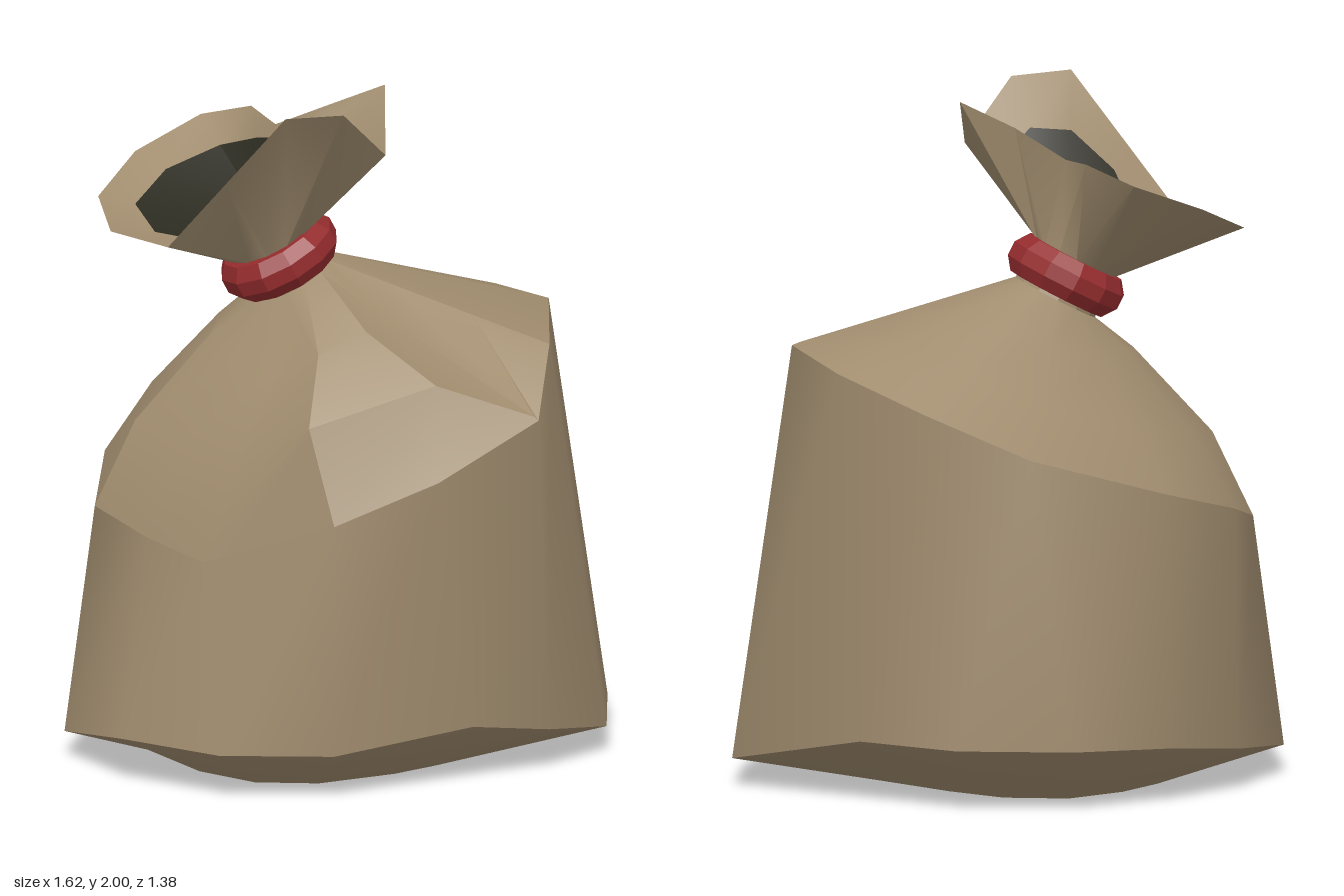
import * as THREE from 'three';
import { toCreasedNormals } from 'three/addons/utils/BufferGeometryUtils.js';

const mat = (name, color, flatShading = false) => {
  const m = new THREE.MeshStandardMaterial({ color, flatShading });
  m.name = name;
  return m;
};
const V = (p) => new THREE.Vector3(...p);
const lerpRing = (a, b, t) => a.map((p, i) => p.clone().lerp(b[i], t));

// Skin closed rings, listed from bottom to top, skipping collapsed triangles
function loft(rings, crease) {
  const pos = [];
  const tri = (a, b, c) => {
    if (b.clone().sub(a).cross(c.clone().sub(a)).length() > 1e-7)
      for (const p of [a, b, c]) pos.push(p.x, p.y, p.z);
  };
  for (let i = 0; i < rings.length - 1; i++) {
    const lo = rings[i], hi = rings[i + 1], n = lo.length;
    for (let j = 0; j < n; j++) {
      const k = (j + 1) % n;
      tri(lo[j], hi[j], lo[k]);
      tri(lo[k], hi[j], hi[k]);
    }
  }
  const g = new THREE.BufferGeometry();
  g.setAttribute('position', new THREE.Float32BufferAttribute(pos, 3));
  return toCreasedNormals(g, crease);
}

const TILT = 0.48;
const AXIS = new THREE.Vector3(-Math.sin(TILT), Math.cos(TILT), 0);
const KNOT = new THREE.Vector3(-0.172, 1.465, 0.04);

// Thirteen-sided ring of the tilted neck, at a distance along its axis from the tie
function neckRing(along, r) {
  return Array.from({ length: 13 }, (_, i) => {
    const a = (i / 13) * Math.PI * 2;
    return new THREE.Vector3(Math.cos(a) * Math.cos(TILT) * r, Math.cos(a) * Math.sin(TILT) * r, Math.sin(a) * r)
      .add(KNOT).addScaledVector(AXIS, along);
  });
}

export function createModel() {
  const group = new THREE.Group();
  const burlap = mat('burlap', 0xa08c6e);
  const red = mat('redTie', 0x952c2e, true);
  const dark = mat('darkInside', 0x2c2b21);
  const add = (name, geometry, material) => {
    const m = new THREE.Mesh(geometry, material);
    m.name = name;
    group.add(m);
    return m;
  };

  // Lower rim and slanted shoulder, running +x, +z, -x, -z
  const rim = [
    [0.805, 0.08, 0.04], [0.72, 0.08, 0.37], [0.51, 0.13, 0.53], [0.26, 0.18, 0.62], [-0.17, 0.14, 0.69],
    [-0.49, 0.14, 0.6], [-0.72, 0.14, 0.36], [-0.81, 0.08, 0.04], [-0.62, 0.12, -0.29],
    [-0.39, 0.16, -0.52], [-0.07, 0.18, -0.69], [0.26, 0.18, -0.61], [0.5, 0.18, -0.37],
  ].map(V);
  const shoulder = [
    [0.63, 1.28, 0.04], [0.55, 1.24, 0.37], [0.46, 1.08, 0.6], [0.14, 0.94, 0.69], [-0.17, 0.83, 0.69],
    [-0.5, 0.68, 0.45], [-0.62, 0.71, 0.26], [-0.72, 0.75, 0.04], [-0.61, 0.82, -0.28],
    [-0.37, 0.9, -0.51], [0.04, 1.02, -0.6], [0.34, 1.15, -0.51], [0.55, 1.24, -0.28],
  ].map(V);

  // Chamfered bottom and smooth wall
  const base = rim.map((p) => new THREE.Vector3(-0.07 + p.x * 0.55, 0, 0.05 + p.z * 0.62));
  const baseCentre = rim.map(() => new THREE.Vector3(-0.07, 0, 0.05));
  add('sackBottom', loft([baseCentre, base, rim], 0.8), burlap);
  add('sackWall', loft([rim, shoulder], 1.1), burlap);

  // Slope up to the neck, with folds pushed into the front and left
  const neck = neckRing(-0.07, 0.13);
  const mid = lerpRing(shoulder, neck, 0.35);
  const top = lerpRing(shoulder, neck, 0.7);
  [[0.45, 1.09, 0.592], [0.16, 1.2, 0.58], [-0.22, 1.1, 0.59], [-0.4, 0.95, 0.43],
    [-0.51, 0.99, 0.26], [-0.6, 1.0, 0.04], [-0.49, 1.04, -0.2]].forEach((p, i) => mid[i + 2].set(...p));
  [[0.08, 1.33, 0.27], [0, 1.32, 0.39], [-0.15, 1.27, 0.42], [-0.28, 1.17, 0.32],
    [-0.35, 1.21, 0.18], [-0.37, 1.25, 0.04], [-0.32, 1.27, -0.08]].forEach((p, i) => top[i + 2].set(...p));
  add('sackSlope', loft([shoulder, mid, top, neck, neckRing(0.03, 0.12)], 0.45), burlap);

  // Flared mouth above the tie, turned in at its ragged edge
  const mouth = [
    [0.13, 1.97, 0.09], [0.08, 1.82, 0.3], [-0.08, 1.99, 0.44], [-0.26, 2.0, 0.47], [-0.41, 1.79, 0.37],
    [-0.56, 1.58, 0.27], [-0.68, 1.58, 0.07], [-0.66, 1.62, -0.16], [-0.51, 1.7, -0.32],
    [-0.3, 1.78, -0.38], [-0.18, 1.83, -0.26], [-0.15, 1.82, -0.09], [-0.02, 1.9, 0.02],
  ].map(V);
  const lipDepth = [0.4, 0.26, 0.31, 0.35, 0.25, 0.38, 0.27, 0.21, 0.22, 0.26, 0.25, 0.12, 0.16];
  const pit = mouth.map(() => new THREE.Vector3(-0.2, 1.55, 0.1));
  const lip = mouth.map((p, i) => p.clone().lerp(pit[i], lipDepth[i]));
  add('sackMouth', loft([neckRing(0, 0.12), neckRing(0.05, 0.12), mouth, lip], 0.7), burlap);
  add('sackInside', loft([lip, pit], 0.5), dark);

  // Tie around the neck
  const profile = [[0.1, -0.06], [0.152, -0.06], [0.18, -0.022], [0.18, 0.022], [0.152, 0.06], [0.1, 0.06]]
    .map((p) => new THREE.Vector2(...p));
  const tie = add('neckTie', new THREE.LatheGeometry(profile, 12), red);
  tie.position.copy(KNOT);
  tie.rotation.z = TILT;

  return group;
}
